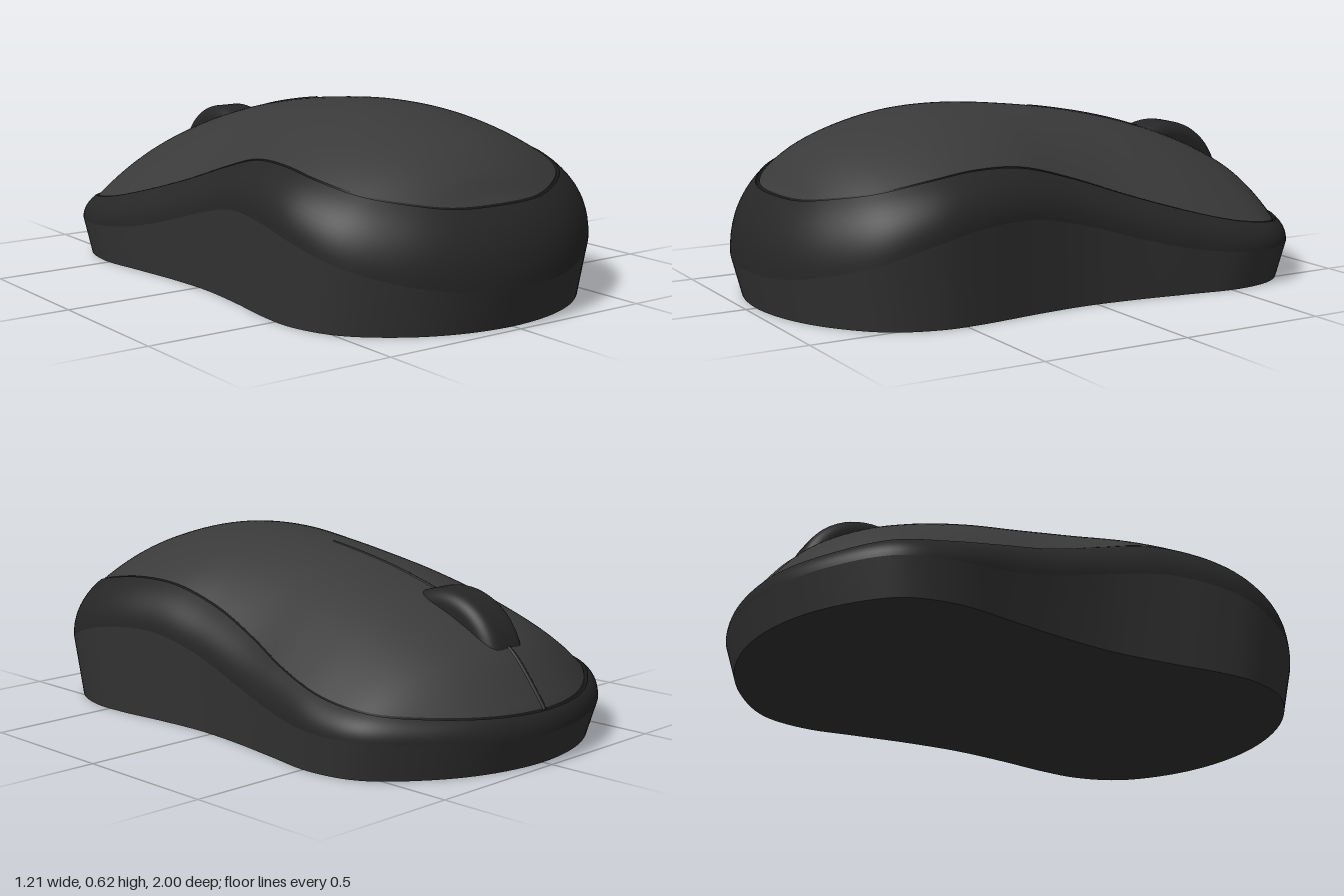
import * as THREE from 'three';
import { mergeVertices } from 'three/addons/utils/BufferGeometryUtils.js';

// Stations from rear (+z) to nose (-z):
// body z, body half width, panel z, panel half width, lower seam y, upper seam y, crown y
const STATIONS = [
  [1.0, 0, 0.905, 0, 0.13, 0.365, 0.365],
  [0.97, 0.2, 0.885, 0.17, 0.135, 0.368, 0.385],
  [0.89, 0.37, 0.83, 0.29, 0.165, 0.385, 0.45],
  [0.76, 0.51, 0.73, 0.405, 0.215, 0.41, 0.52],
  [0.6, 0.57, 0.58, 0.462, 0.27, 0.443, 0.575],
  [0.45, 0.572, 0.43, 0.466, 0.302, 0.463, 0.607],
  [0.25, 0.55, 0.25, 0.452, 0.308, 0.457, 0.615],
  [0.05, 0.538, 0.05, 0.443, 0.265, 0.405, 0.6],
  [-0.15, 0.552, -0.15, 0.468, 0.205, 0.337, 0.573],
  [-0.35, 0.58, -0.35, 0.52, 0.155, 0.275, 0.533],
  [-0.55, 0.605, -0.55, 0.546, 0.13, 0.225, 0.475],
  [-0.72, 0.565, -0.72, 0.512, 0.125, 0.2, 0.405],
  [-0.86, 0.425, -0.845, 0.385, 0.118, 0.185, 0.33],
  [-0.96, 0.235, -0.945, 0.205, 0.11, 0.175, 0.215],
  [-1.0, 0, -0.978, 0, 0.105, 0.17, 0.17],
];
const SEGMENTS = 168;

// Closed, mirrored ring through one point per station
function ring(pointOf) {
  const left = STATIONS.map((s) => new THREE.Vector3(...pointOf(s)));
  const right = left.slice(1, -1).reverse().map((p) => new THREE.Vector3(-p.x, p.y, p.z));
  const curve = new THREE.CatmullRomCurve3([...left, ...right], true, 'centripetal');
  return Array.from({ length: SEGMENTS }, (_, i) => curve.getPoint(i / SEGMENTS));
}

// Skin over rings, ordered from the outside bottom up and inwards
function loft(rings) {
  const positions = [];
  const index = [];
  rings.forEach((r) => r.forEach((p) => positions.push(p.x, p.y, p.z)));
  for (let k = 0; k < rings.length - 1; k++) {
    for (let i = 0; i < SEGMENTS; i++) {
      const j = (i + 1) % SEGMENTS;
      const a = k * SEGMENTS + i, b = k * SEGMENTS + j;
      const c = b + SEGMENTS, d = a + SEGMENTS;
      index.push(a, b, c, a, c, d);
    }
  }
  let geo = new THREE.BufferGeometry();
  geo.setAttribute('position', new THREE.Float32BufferAttribute(positions, 3));
  geo.setIndex(index);
  geo = mergeVertices(geo, 1e-4);
  geo.computeVertexNormals();
  return geo;
}

const blend = (a, b, f) => a.map((p, i) => f(p, b[i]));
const steps = (n) => Array.from({ length: n + 1 }, (_, i) => i / n);

export function createModel() {
  const model = new THREE.Group();
  const paint = (color, side = THREE.FrontSide) => new THREE.MeshStandardMaterial({ color, side });
  const shell = paint(0x3a3a3a);
  const underside = paint(0x333333);
  const dark = paint(0x262626);
  const seam = paint(0x1a1a1a, THREE.DoubleSide);
  const add = (name, geo, mat) => {
    const mesh = new THREE.Mesh(geo, mat);
    mesh.name = name;
    model.add(mesh);
    return mesh;
  };

  const K = 0.965; // taper of the base towards the table
  const S = 0.985; // inset of the top panel inside its groove
  const floorSpine = ring(([z]) => [0, 0, z * K]);
  const floorEdge = ring(([z, w]) => [w * K, 0, z * K]);
  const lowerSeam = ring(([z, w, , , y]) => [w, y, z]);
  const upperSeam = ring(([, , z, w, , y]) => [w, y, z]);
  const grooveFloor = ring(([, , z, w, , y]) => [w * 0.992, y - 0.012, z * 0.992]);
  const panelEdge = ring(([, , z, w, , y]) => [w * S, y + 0.003, z * S]);
  const spine = ring(([, , z, , , , top]) => [0, top + 0.003, z * S]);

  // Base
  add('bottom', loft([floorSpine, floorEdge]), underside);
  add('baseWall', loft(steps(4).map((t) =>
    blend(floorEdge, lowerSeam, (a, b) => a.clone().lerp(b, t)))), underside);

  // Side band, bulging between the two seams
  add('sideBand', loft(steps(10).map((t) => blend(lowerSeam, upperSeam, (a, b) => {
    const bulge = new THREE.Vector3(a.x, a.y + (b.y - a.y) * 0.6, a.z);
    return new THREE.QuadraticBezierCurve3(a, bulge, b).getPoint(t);
  }))), dark);

  // Top panel and the groove around it
  add('panelGroove', loft([upperSeam, grooveFloor, panelEdge]), seam);
  add('topPanel', loft(steps(20).map((s) => blend(spine, panelEdge, (c, e) => {
    const t = 1 - s;
    return new THREE.Vector3(e.x * t, c.y + (e.y - c.y) * t * t, c.z + (e.z - c.z) * t);
  }))), shell);

  // Split line between the two buttons, following the crown
  const crown = spine.slice(0, SEGMENTS / 2 + 1);
  for (const [name, from, to] of [['rearSplit', -0.04, -0.53], ['noseSplit', -0.8, -0.97]]) {
    const points = crown.filter((p) => p.z <= from && p.z >= to)
      .map((p) => new THREE.Vector3(0, p.y - 0.006, p.z));
    add(name, new THREE.TubeGeometry(new THREE.CatmullRomCurve3(points), 40, 0.009, 8), seam);
  }

  // Scroll wheel with rounded shoulders
  const R = 0.242, H = 0.083, C = 0.045;
  const profile = [new THREE.Vector2(0, -H)];
  for (const side of [-1, 1]) {
    for (const t of steps(8)) {
      const a = (side < 0 ? t - 1 : t) * Math.PI / 2;
      profile.push(new THREE.Vector2(R - C + C * Math.cos(a), side * (H - C) + C * Math.sin(a)));
    }
  }
  profile.push(new THREE.Vector2(0, H));
  const wheel = add('scrollWheel', new THREE.LatheGeometry(profile, 64), dark);
  wheel.rotation.z = Math.PI / 2;
  wheel.position.set(0, 0.262, -0.595);

  return model;
}
